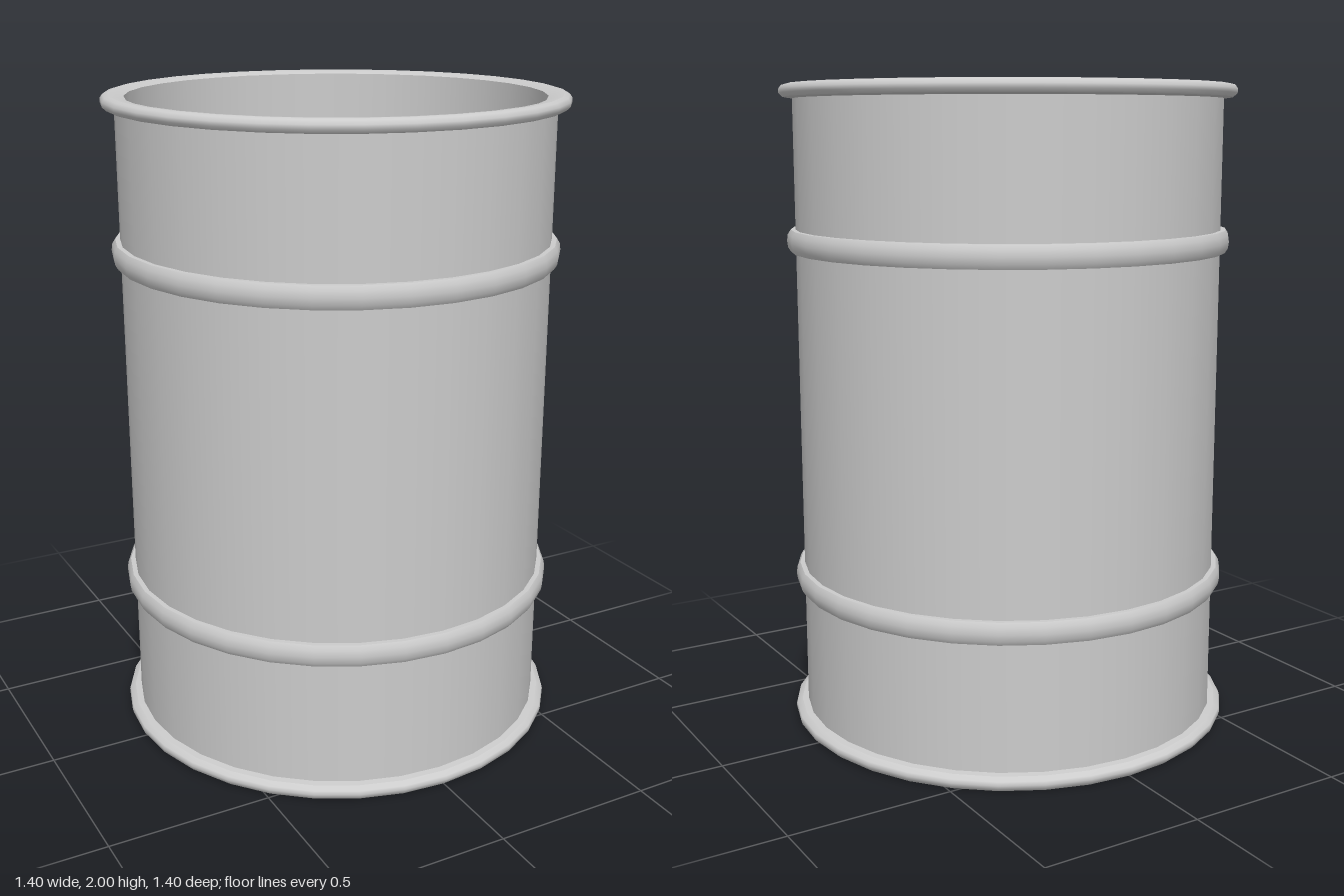
import * as THREE from 'three';
import { mergeGeometries } from 'three/addons/utils/BufferGeometryUtils.js';

const SIDES = 32;
const material = new THREE.MeshStandardMaterial({ color: 0xcccccc });

// Lathe several smooth runs; a hard edge stays wherever one run meets the next.
function turned(name, runs) {
  const parts = runs.map((run) =>
    new THREE.LatheGeometry(run.map(([r, y]) => new THREE.Vector2(r, y)), SIDES));
  const mesh = new THREE.Mesh(mergeGeometries(parts), material);
  mesh.name = name;
  return mesh;
}

export function createModel() {
  const drum = new THREE.Group();
  drum.name = 'openDrum';

  // Outer shell
  drum.add(turned('outerWall', [[[0.66, 0.03], [0.66, 1.97]]]));

  // Hollow inside: straight wall down to a flat floor
  drum.add(turned('innerWall', [[[0.63, 1.99], [0.63, 0.03]]]));
  drum.add(turned('floor', [[[0.63, 0.03], [0, 0.03]]]));

  // Underside
  drum.add(turned('base', [[[0, 0], [0.685, 0]]]));

  // Rolled lip around the opening
  drum.add(turned('topRim', [
    [[0.66, 1.957], [0.688, 1.961]],
    [[0.688, 1.961], [0.7, 1.972], [0.7, 1.985], [0.692, 1.996], [0.677, 2]],
    [[0.677, 2], [0.655, 1.998], [0.63, 1.99]],
  ]));

  // Rolled lip around the foot
  drum.add(turned('bottomRim', [
    [[0.685, 0], [0.697, 0.01], [0.7, 0.022], [0.697, 0.033], [0.68, 0.042]],
    [[0.68, 0.042], [0.66, 0.044]],
  ]));

  // Two raised hoops
  [['lowerHoop', 0.47], ['upperHoop', 1.53]].forEach(([name, y]) => {
    const hoop = turned(name, [
      [[0.655, -0.034], [0.675, -0.034]],
      [[0.675, -0.034], [0.684, -0.02], [0.687, 0], [0.684, 0.02], [0.675, 0.034]],
      [[0.675, 0.034], [0.655, 0.034]],
    ]);
    hoop.position.y = y;
    drum.add(hoop);
  });

  return drum;
}
